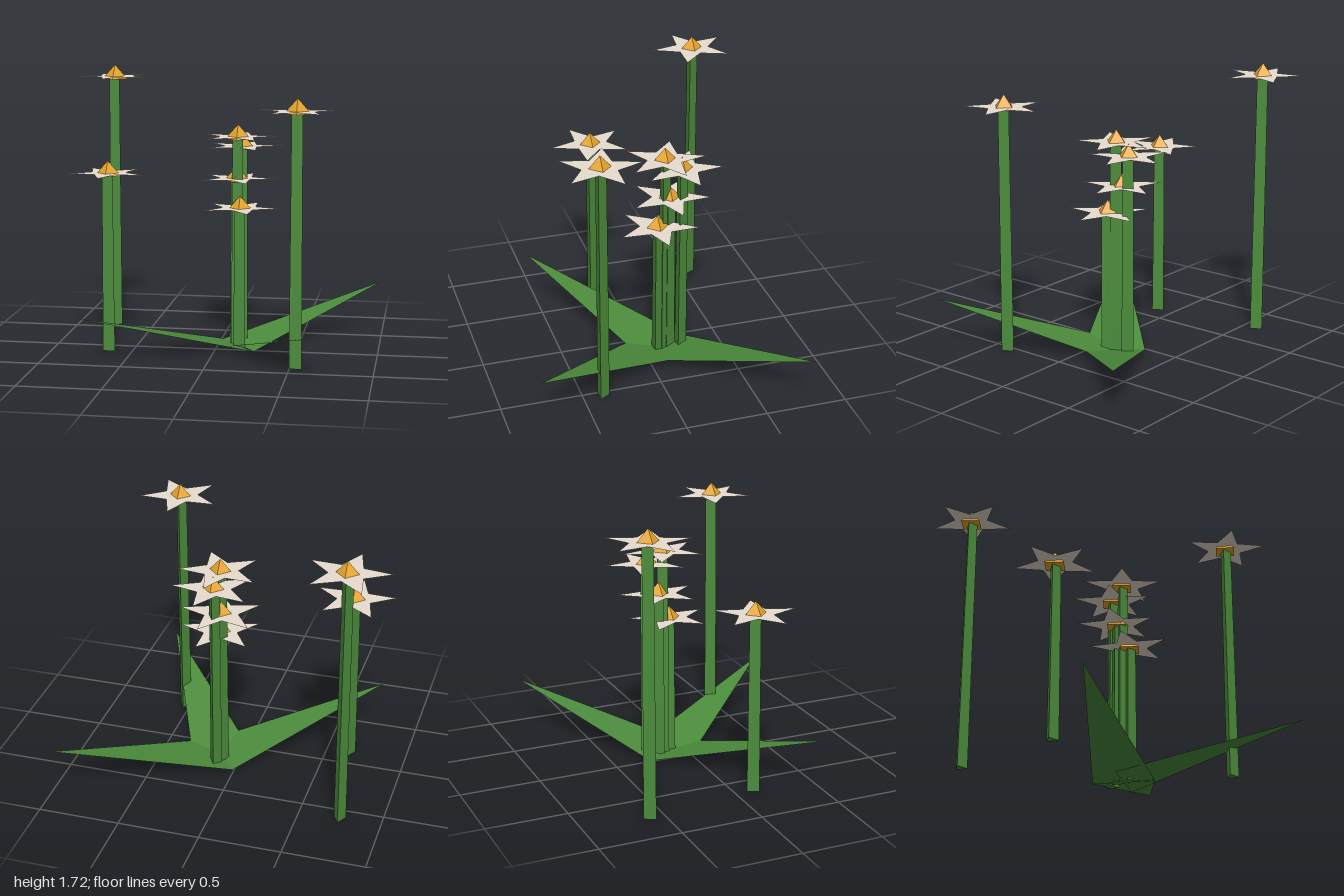
import * as THREE from 'three';

const material = (color) =>
  new THREE.MeshStandardMaterial({ color, flatShading: true, side: THREE.DoubleSide });

// x, z, height of the flower, turn of one petal tip (degrees from +x towards +z)
const FLOWERS = [
  [-0.747, -0.588, 1.624, 24],
  [-0.644, 0.12, 1.091, 91],
  [0.536, 0.38, 1.51, -90],
  [0.12, -0.135, 1.298, 60],
  [0.133, -0.239, 1.228, -79.5],
  [0.108, -0.17, 1.034, 71],
  [0.14, -0.085, 0.861, 1],
];

// Leaf tips; every leaf starts at the foot of the plant
const LEAF_TIPS = [[0.99, -0.81], [-0.775, 0.535], [0.735, 0.805]];
const FOOT = [0.125, -0.125];
const LEAF_HALF_WIDTH = 0.19;
const LEAF_RISE = 0.295;

// Flat five-pointed star lying in the xz plane, facing up
function starGeometry(outer, inner) {
  const points = [];
  for (let i = 0; i < 10; i++) {
    const a = (i * Math.PI) / 5;
    const r = i % 2 ? inner : outer;
    points.push(new THREE.Vector2(r * Math.cos(a), r * Math.sin(a)));
  }
  return new THREE.ShapeGeometry(new THREE.Shape(points)).rotateX(-Math.PI / 2);
}

// Triangular leaf rising from the foot to its tip
function leafGeometry([tx, tz]) {
  const [fx, fz] = FOOT;
  const length = Math.hypot(tx - fx, tz - fz);
  const px = (-(tz - fz) / length) * LEAF_HALF_WIDTH;
  const pz = ((tx - fx) / length) * LEAF_HALF_WIDTH;
  const geometry = new THREE.BufferGeometry();
  geometry.setAttribute('position', new THREE.Float32BufferAttribute([
    fx + px, 0, fz + pz,
    tx, LEAF_RISE, tz,
    fx - px, 0, fz - pz,
  ], 3));
  geometry.computeVertexNormals();
  return geometry;
}

export function createModel() {
  const model = new THREE.Group();
  model.name = 'floweringPlant';
  const green = material(0x4c8c3c);
  const cream = material(0xe8ddd0);
  const orange = material(0xe8a52e);

  const star = starGeometry(0.256, 0.108);
  const pyramid = new THREE.ConeGeometry(0.081, 0.091, 4);

  const add = (parent, name, geometry, mat, y = 0) => {
    const mesh = new THREE.Mesh(geometry, mat);
    mesh.name = name;
    mesh.position.y = y;
    parent.add(mesh);
    return mesh;
  };

  // Flowers: three-sided stem, flat star of petals, pyramid centre
  for (const [x, z, height, turn] of FLOWERS) {
    const flower = new THREE.Group();
    flower.name = 'flower';
    flower.position.set(x, 0, z);
    const stem = new THREE.CylinderGeometry(0.038, 0.043, height, 3).rotateY(Math.PI);
    add(flower, 'stem', stem, green, height / 2);
    add(flower, 'petals', star, cream, height + 0.0165).rotation.y = -THREE.MathUtils.degToRad(turn);
    add(flower, 'flowerCentre', pyramid, orange, height + 0.0455);
    model.add(flower);
  }

  // Leaves spreading from the foot
  for (const tip of LEAF_TIPS) add(model, 'leaf', leafGeometry(tip), green);

  return model;
}
